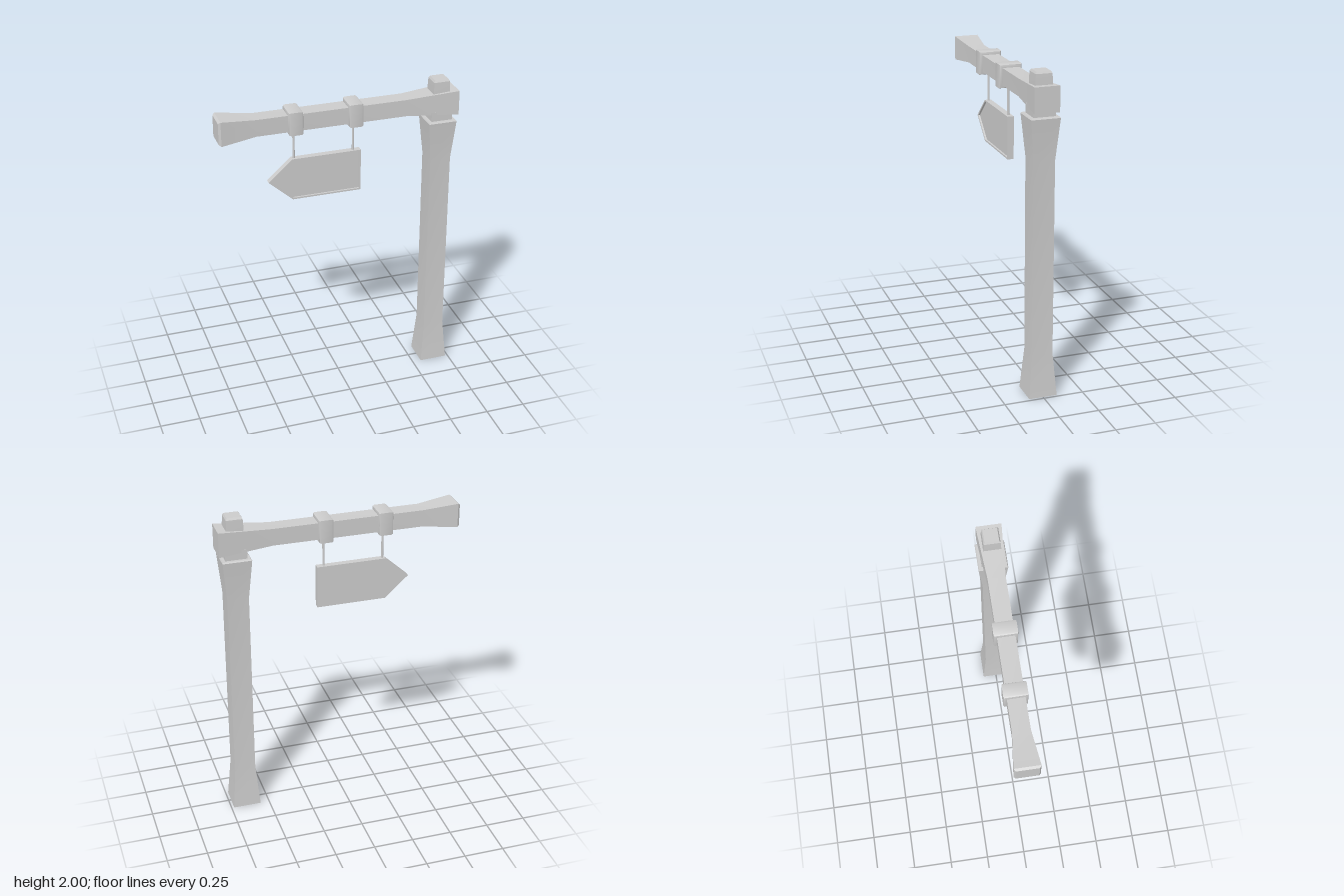
import * as THREE from 'three';
import { toCreasedNormals } from 'three/addons/utils/BufferGeometryUtils.js';

const material = new THREE.MeshStandardMaterial({ color: 0xcccccc });

function part(name, geometry, parent) {
  const mesh = new THREE.Mesh(geometry, material);
  mesh.name = name;
  parent.add(mesh);
  return mesh;
}

// Square timber along y; profile is a list of [height, half width]
function timber(profile) {
  const n = profile.length - 1;
  const geo = new THREE.BoxGeometry(2, n, 2, 1, n, 1);
  const p = geo.attributes.position;
  for (let i = 0; i < p.count; i++) {
    const [y, half] = profile[Math.round(p.getY(i) + n / 2)];
    p.setXYZ(i, p.getX(i) * half, y, p.getZ(i) * half);
  }
  return toCreasedNormals(geo, 0.35);
}

const outline = (points, Type = THREE.Shape) =>
  new Type(points.map(([x, y]) => new THREE.Vector2(x, y)));

const rect = (w, h) => [[-w, -h], [w, -h], [w, h], [-w, h]];

export function createModel() {
  const model = new THREE.Group();
  model.name = 'hangingSignpost';

  // Upright post with flared ends, and the stepped tenon through the beam
  const upright = new THREE.Group();
  upright.name = 'upright';
  upright.position.x = 0.645;
  model.add(upright);
  part('post', timber([[0, 0.088], [0.27, 0.066], [1.48, 0.066], [1.735, 0.089], [1.742, 0.084]]), upright);
  part('tenonShoulder', timber([[1.72, 0.067], [1.8, 0.067]]), upright);
  part('tenonPeg', timber([[1.79, 0.054], [1.925, 0.053], [1.988, 0.05], [2, 0.043]]), upright);

  // Horizontal beam, flared at both ends
  const beam = part('beam', timber([
    [-0.75, 0.067], [-0.736, 0.077], [-0.52, 0.053], [0.42, 0.053], [0.75, 0.077],
  ]), model);
  beam.rotation.set(0, 0, -Math.PI / 2);
  beam.position.y = 1.85;

  // Collars around the beam, each with a rod down to the sign
  const bevel = 0.013;
  for (const x of [-0.28, 0.095]) {
    const ring = outline(rect(0.071 - bevel, 0.073 - bevel));
    ring.holes.push(outline(rect(0.045, 0.045).reverse(), THREE.Path));
    const geo = new THREE.ExtrudeGeometry(ring, {
      depth: 0.092 - 2 * bevel, bevelEnabled: true, bevelThickness: bevel,
      bevelSize: bevel, bevelSegments: 2,
    });
    geo.center().rotateY(Math.PI / 2);
    part('collar', toCreasedNormals(geo, 0.6), model).position.set(x, 1.85, 0);
    part('rod', new THREE.CylinderGeometry(0.007, 0.007, 0.2, 12), model).position.set(x, 1.69, 0);
  }

  // Arrow-shaped sign: flat backing board with a raised rim in front
  const outer = [[-0.445, 1.465], [-0.295, 1.33], [0.14, 1.33], [0.14, 1.6], [-0.295, 1.6]];
  const inner = [[-0.43, 1.465], [-0.291, 1.34], [0.13, 1.34], [0.13, 1.59], [-0.291, 1.59]];
  const sign = new THREE.Group();
  sign.name = 'sign';
  model.add(sign);
  part('signBoard', new THREE.ExtrudeGeometry(outline(outer), { depth: 0.028, bevelEnabled: false }), sign)
    .position.z = -0.02;
  const rim = outline(outer);
  rim.holes.push(outline(inner.reverse(), THREE.Path));
  part('signRim', new THREE.ExtrudeGeometry(rim, { depth: 0.012, bevelEnabled: false }), sign)
    .position.z = 0.008;

  return model;
}
